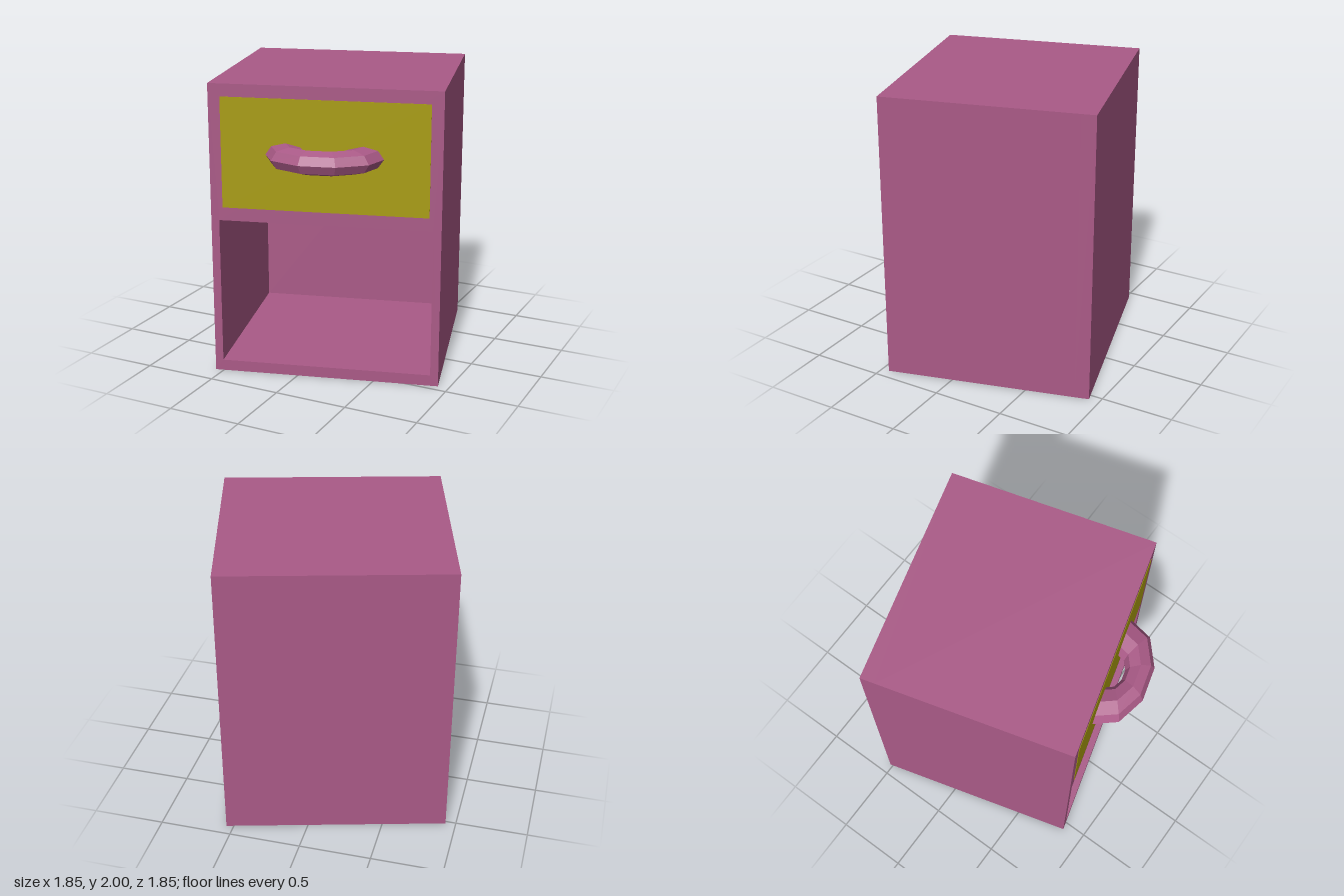
import * as THREE from 'three';

const W = 1.534, H = 2, D = 1.42, BACK = 0.1;

function rectPath(path, x0, y0, x1, y1) {
  path.moveTo(x0, y0);
  path.lineTo(x1, y0);
  path.lineTo(x1, y1);
  path.lineTo(x0, y1);
  path.closePath();
  return path;
}

export function createModel() {
  const model = new THREE.Group();
  const cabinet = new THREE.Group();
  cabinet.name = 'bedsideCabinet';
  model.add(cabinet);

  const wood = new THREE.MeshStandardMaterial({ color: 0xaa5a87 });
  const drawerPaint = new THREE.MeshStandardMaterial({ color: 0xa89c0e });
  const handlePaint = new THREE.MeshStandardMaterial({ color: 0xaa5a87, flatShading: true });

  const add = (name, geometry, material, x, y, z) => {
    const mesh = new THREE.Mesh(geometry, material);
    mesh.name = name;
    mesh.position.set(x, y, z);
    cabinet.add(mesh);
    return mesh;
  };

  // Body with the open shelf cut through it
  const outline = rectPath(new THREE.Shape(), -W / 2, 0, W / 2, H);
  outline.holes.push(rectPath(new THREE.Path(), -0.713, 0.075, 0.713, 1.08));
  const body = new THREE.ExtrudeGeometry(outline, { depth: D - BACK, bevelEnabled: false });
  add('body', body, wood, 0, 0, -D / 2 + BACK);

  // Back closes the shelf
  add('backPanel', new THREE.BoxGeometry(W, H, BACK), wood, 0, H / 2, -D / 2 + BACK / 2);

  // Drawer front, almost flush with the frame
  add('drawerFront', new THREE.BoxGeometry(1.374, 0.745, 0.02), drawerPaint, 0, 1.5425, D / 2 - 0.007);

  // Faceted handle: a flattened half ring
  const ring = new THREE.TorusGeometry(0.255, 0.135, 8, 5, Math.PI);
  ring.rotateX(Math.PI / 2);
  ring.scale(1, 0.08 / 0.135, 0.69);
  add('handle', ring, handlePaint, 0, 1.545, D / 2);

  // The whole cabinet stands turned to one side
  cabinet.rotation.y = 0.267;
  cabinet.position.set(-0.0025, 0, -0.0375);
  return model;
}
